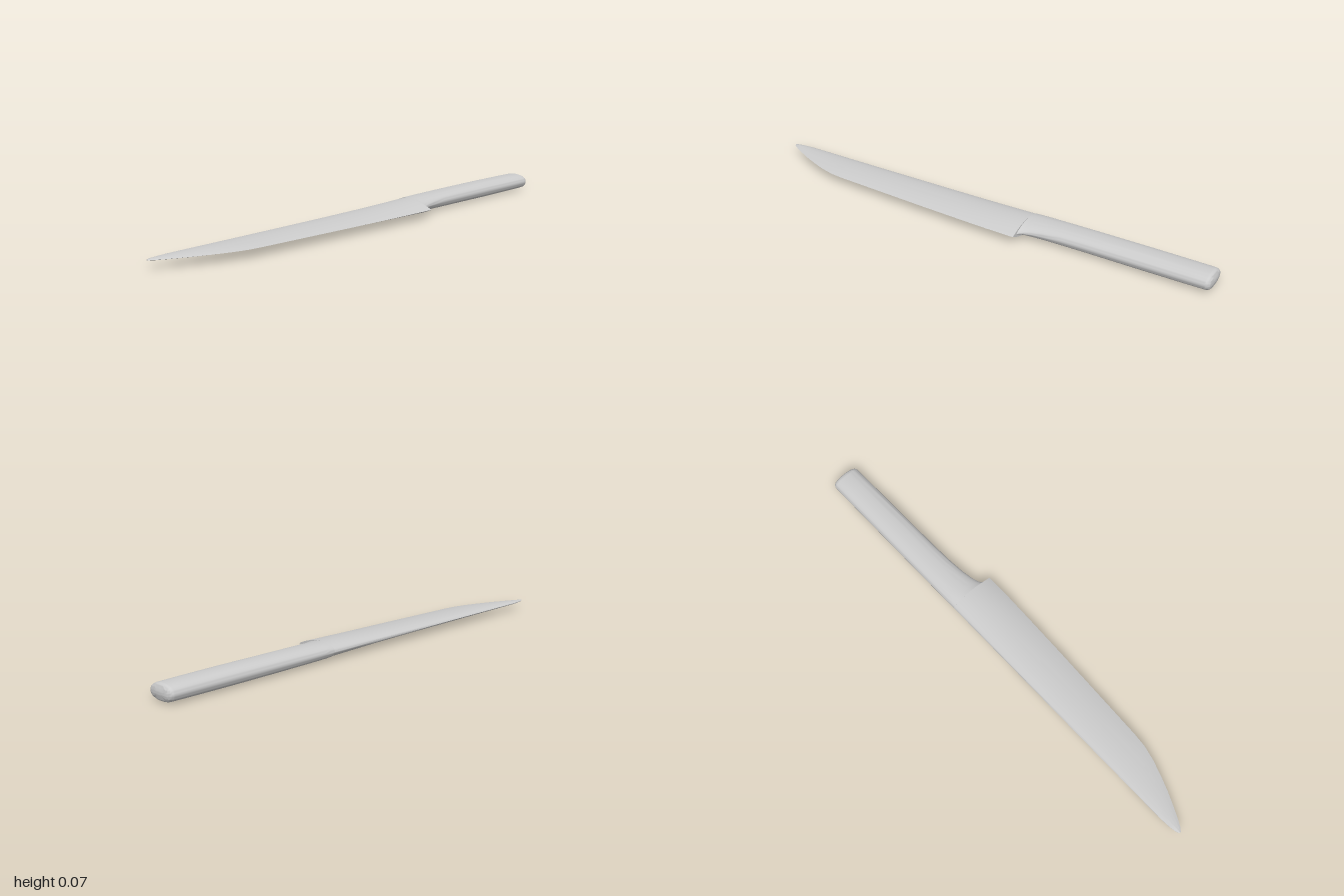
import * as THREE from 'three';
import { toCreasedNormals } from 'three/addons/utils/BufferGeometryUtils.js';

const SIDES = 40;
const MID_Y = 0.034;

// Half thickness (0..1) across a section; t runs from spine (0) to edge (1).
const wedge = (t) => t < 0.38
  ? Math.sqrt(Math.max(0, 1 - ((0.38 - t) / 0.38) ** 2))
  : 1 - ((t - 0.38) / 0.62) ** 2;
const oval = (t) => Math.pow(Math.max(0, 1 - Math.abs(2 * t - 1) ** 2.3), 1 / 2.3);

// Lofts stations [x, spine z, edge z, half thickness, ovalness] and caps both ends.
function loft(stations) {
  const pos = [];
  const index = [];
  for (const [x, spine, edge, half, round] of stations) {
    for (let j = 0; j < SIDES; j++) {
      const a = (j / SIDES) * Math.PI * 2;
      const t = (1 - Math.cos(a)) / 2;
      const h = half * THREE.MathUtils.lerp(wedge(t), oval(t), round);
      pos.push(x, MID_Y + (j <= SIDES / 2 ? h : -h), THREE.MathUtils.lerp(spine, edge, t));
    }
  }
  const last = stations.length - 1;
  for (let i = 0; i < last; i++) {
    for (let j = 0; j < SIDES; j++) {
      const k = (j + 1) % SIDES;
      const a = i * SIDES + j, b = i * SIDES + k;
      index.push(a, b, a + SIDES, b, b + SIDES, a + SIDES);
    }
  }
  for (const end of [0, last]) {
    const [x, spine, edge] = stations[end];
    const center = pos.length / 3;
    pos.push(x, MID_Y, (spine + edge) / 2);
    for (let j = 0; j < SIDES; j++) {
      const a = end * SIDES + j, b = end * SIDES + (j + 1) % SIDES;
      index.push(center, ...(end ? [a, b] : [b, a]));
    }
  }
  const geometry = new THREE.BufferGeometry();
  geometry.setAttribute('position', new THREE.Float32BufferAttribute(pos, 3));
  geometry.setIndex(index);
  return toCreasedNormals(geometry, 0.7);
}

export function createModel() {
  const group = new THREE.Group();
  group.name = 'knife';
  const material = new THREE.MeshStandardMaterial({ color: 0xcccccc });
  const add = (name, stations) => {
    const mesh = new THREE.Mesh(loft(stations), material);
    mesh.name = name;
    group.add(mesh);
  };

  // Blade: curved belly, near-straight edge, thickening toward the heel
  add('blade', [
    [-1, -0.084, -0.076, 0.002, 0],
    [-0.985, -0.09, -0.064, 0.004, 0],
    [-0.96, -0.094, -0.05, 0.005, 0],
    [-0.92, -0.097, -0.03, 0.007, 0],
    [-0.86, -0.097, -0.002, 0.009, 0],
    [-0.8, -0.097, 0.022, 0.0105, 0],
    [-0.74, -0.097, 0.043, 0.0115, 0],
    [-0.68, -0.097, 0.058, 0.0125, 0],
    [-0.62, -0.097, 0.064, 0.013, 0],
    [-0.45, -0.097, 0.072, 0.015, 0],
    [-0.2, -0.097, 0.084, 0.018, 0],
    [0, -0.097, 0.092, 0.022, 0],
    [0.12, -0.097, 0.096, 0.026, 0],
    [0.24, -0.097, 0.097, 0.03, 0],
  ]);

  // Handle: swept neck behind the heel, oval grip, rounded butt
  const handle = [
    [0.24, -0.097, 0.068, 0.03, 0.2],
    [0.247, -0.097, 0.06, 0.03, 0.3],
    [0.26, -0.097, 0.052, 0.0305, 0.45],
    [0.285, -0.097, 0.044, 0.031, 0.65],
    [0.33, -0.097, 0.036, 0.0315, 0.85],
    [0.4, -0.097, 0.03, 0.032, 1],
    [0.5, -0.097, 0.027, 0.033, 1],
    [0.72, -0.097, 0.025, 0.034, 1],
    [0.9, -0.097, 0.024, 0.033, 1],
  ];
  for (let i = 0; i <= 6; i++) {
    const a = (i / 6) * Math.PI / 2;
    const inset = 0.014 * (1 - Math.cos(a));
    handle.push([0.978 + 0.018 * Math.sin(a), -0.097 + inset, 0.023 - inset, 0.032 - inset, 1]);
  }
  handle.push([0.999, -0.063, -0.011, 0.008, 1], [1, -0.045, -0.029, 0.003, 1]);
  add('handle', handle);

  return group;
}
